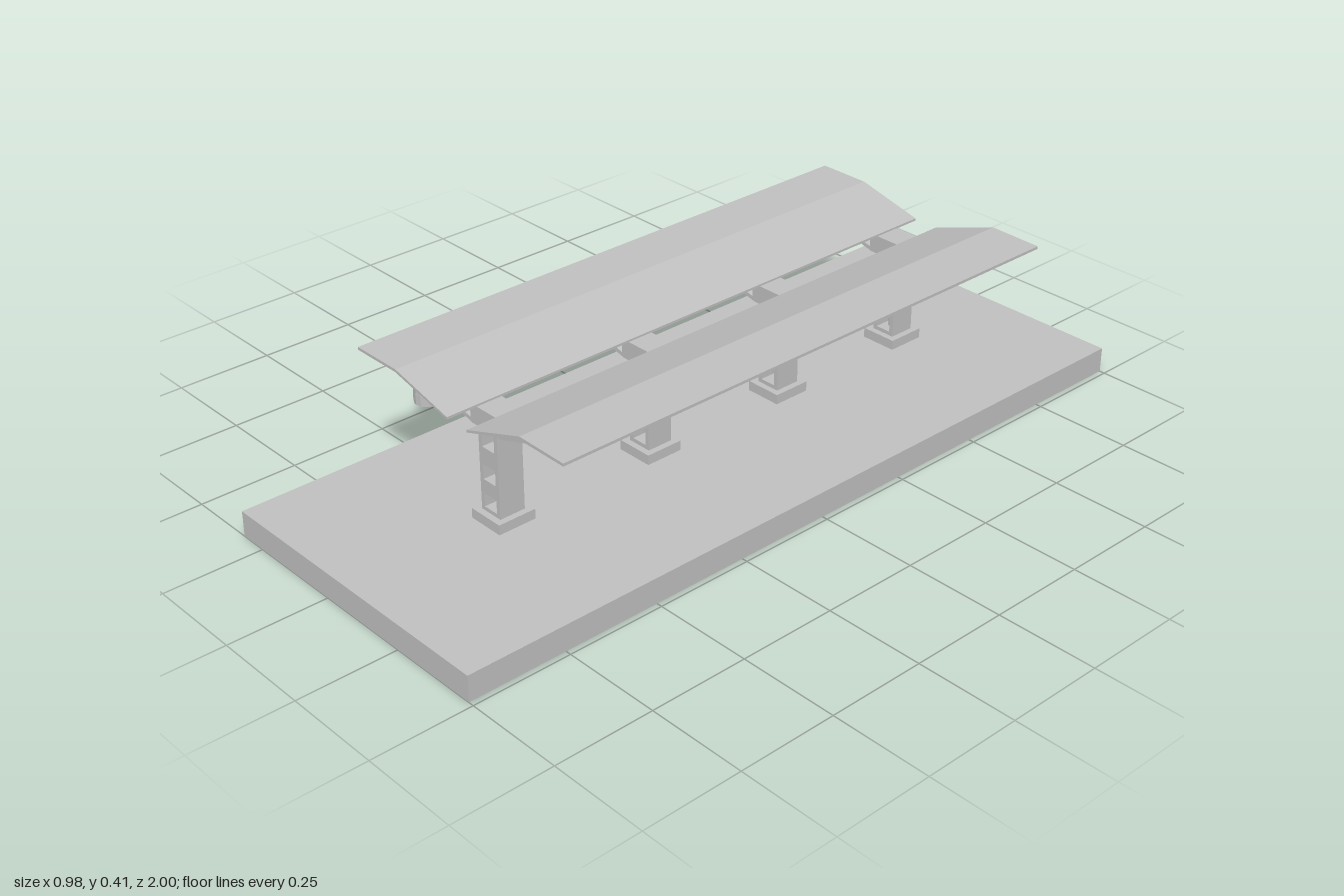
import * as THREE from 'three';

const grey = new THREE.MeshStandardMaterial({ color: 0xc0c0c0 });
grey.name = 'concrete grey';

function add(parent, name, geometry, x = 0, y = 0, z = 0) {
  const mesh = new THREE.Mesh(geometry, grey);
  mesh.name = name;
  mesh.position.set(x, y, z);
  parent.add(mesh);
  return mesh;
}

// Box given by its limits on each axis
function block(parent, name, x0, x1, y0, y1, z0, z1) {
  return add(parent, name, new THREE.BoxGeometry(x1 - x0, y1 - y0, z1 - z0),
    (x0 + x1) / 2, (y0 + y1) / 2, (z0 + z1) / 2);
}

const points = (list) => list.map(([x, y]) => new THREE.Vector2(x, y));

// Outline in x and y with holes, extruded from z0 to z1
function slab(parent, name, outline, holes, z0, z1) {
  const shape = new THREE.Shape(points(outline));
  for (const h of holes) shape.holes.push(new THREE.Path(points(h)));
  const geometry = new THREE.ExtrudeGeometry(shape, { depth: z1 - z0, bevelEnabled: false });
  return add(parent, name, geometry, 0, 0, z0);
}

const rect = (x0, x1, y0, y1) => [[x0, y0], [x1, y0], [x1, y1], [x0, y1]];

function createSupport(z) {
  const support = new THREE.Group();
  support.name = 'canopySupport';
  support.position.z = z;
  const d = 0.034;
  block(support, 'footing', 0.04, 0.136, 0.065, 0.09, -0.05, 0.05);
  // Column with three openings and a drain pipe inside
  slab(support, 'column', rect(0.056, 0.12, 0.09, 0.298), [
    rect(0.067, 0.109, 0.1, 0.134),
    rect(0.067, 0.109, 0.17, 0.208),
    rect(0.067, 0.109, 0.252, 0.296),
  ], -d, d);
  add(support, 'drainPipe', new THREE.CylinderGeometry(0.01, 0.01, 0.2, 12), 0.088, 0.195, 0);
  block(support, 'capital', 0.034, 0.14, 0.298, 0.345, -d, d);
  // Cantilever arms with slanted openings
  slab(support, 'leftArm',
    [[0.14, 0.299], [0.302, 0.354], [0.319, 0.354], [0.319, 0.404], [0.304, 0.404], [0.128, 0.344], [0.14, 0.344]],
    [
      [[0.146, 0.312], [0.203, 0.331], [0.194, 0.354], [0.146, 0.338]],
      [[0.243, 0.345], [0.302, 0.365], [0.302, 0.391], [0.236, 0.368]],
    ], -d, d);
  slab(support, 'rightArm',
    [[0.034, 0.299], [0.034, 0.349], [-0.125, 0.385], [-0.143, 0.385], [-0.143, 0.336], [-0.127, 0.336]],
    [
      [[0.031, 0.31], [0.031, 0.335], [-0.014, 0.345], [-0.021, 0.322]],
      [[-0.068, 0.332], [-0.06, 0.355], [-0.127, 0.374], [-0.127, 0.347]],
    ], -d, d);
  return support;
}

function createLocomotive() {
  const loco = new THREE.Group();
  loco.name = 'locomotive';
  loco.position.x = -0.449;

  // Rounded skirt in plan, extruded upwards
  const plan = new THREE.Shape();
  plan.moveTo(-0.036, -0.08);
  plan.lineTo(0.036, -0.08);
  plan.lineTo(0.04, -0.38);
  plan.bezierCurveTo(0.04, -0.45, -0.04, -0.45, -0.04, -0.38);
  plan.closePath();
  const deck = add(loco, 'deck',
    new THREE.ExtrudeGeometry(plan, { depth: 0.018, bevelEnabled: false, curveSegments: 8 }), 0, 0.072, 0);
  deck.rotation.x = -Math.PI / 2;
  deck.scale.y = 1;

  // Nose in front of the cab
  const nosePlan = new THREE.Shape();
  nosePlan.moveTo(-0.04, -0.37);
  nosePlan.lineTo(0.04, -0.37);
  nosePlan.bezierCurveTo(0.04, -0.453, -0.04, -0.453, -0.04, -0.37);
  const nose = add(loco, 'nose', new THREE.ExtrudeGeometry(nosePlan, {
    depth: 0.046, bevelEnabled: false, curveSegments: 8,
  }), 0, 0.061, 0);
  nose.rotation.x = -Math.PI / 2;

  // Arched body and cab
  const arch = (w, top) => [[-w, 0.088], [w, 0.088], [w, top - 0.018], [w * 0.75, top - 0.006],
    [w * 0.35, top], [-w * 0.35, top], [-w * 0.75, top - 0.006], [-w, top - 0.018]];
  slab(loco, 'engineBody', arch(0.029, 0.146), [], 0.085, 0.325);
  slab(loco, 'cab', arch(0.032, 0.152), [], 0.325, 0.392);
  slab(loco, 'cabVisor', arch(0.026, 0.118), [], 0.392, 0.41);
  block(loco, 'roofVent', -0.014, 0.014, 0.145, 0.157, 0.27, 0.345);
  block(loco, 'rearVent', -0.014, 0.014, 0.14, 0.15, 0.12, 0.2);
  for (const s of [-1, 1]) {
    for (const z of [0.12, 0.18, 0.24, 0.3]) {
      block(loco, 'sidePanel', s * 0.03 - 0.003, s * 0.03 + 0.003, 0.096, 0.124, z - 0.02, z + 0.02);
    }
    block(loco, 'rearPost', s * 0.034 - 0.002, s * 0.034 + 0.002, 0.088, 0.115, 0.078, 0.082);
  }

  // Underframe, bogies and wheels
  block(loco, 'fuelTank', -0.027, 0.027, 0.058, 0.074, 0.19, 0.28);
  for (const zc of [0.13, 0.345]) {
    for (const s of [-1, 1]) {
      block(loco, 'bogieFrame', s * 0.032 - 0.003, s * 0.032 + 0.003, 0.061, 0.073, zc - 0.045, zc + 0.045);
      for (const dz of [-0.03, 0, 0.03]) {
        const wheel = add(loco, 'wheel', new THREE.CylinderGeometry(0.01, 0.01, 0.006, 12), s * 0.028, 0.063, zc + dz);
        wheel.rotation.z = Math.PI / 2;
      }
    }
    for (const dz of [-0.03, 0, 0.03]) {
      block(loco, 'axle', -0.028, 0.028, 0.061, 0.065, zc + dz - 0.002, zc + dz + 0.002);
    }
  }
  block(loco, 'rearBeam', -0.034, 0.034, 0.065, 0.09, 0.07, 0.082);
  block(loco, 'rearCoupler', -0.006, 0.006, 0.078, 0.09, 0.054, 0.072);
  return loco;
}

export function createModel() {
  const model = new THREE.Group();
  model.name = 'stationPlatform';
  block(model, 'platform', -0.322, 0.486, 0, 0.065, -1, 1);
  for (const z of [-0.657, -0.251, 0.161, 0.592]) model.add(createSupport(z));

  // Folded canopy sheets, level outside and sloping towards the column line
  slab(model, 'rightCanopy',
    [[-0.262, 0.385], [-0.125, 0.385], [0.055, 0.344], [0.055, 0.35], [-0.124, 0.392], [-0.262, 0.392]],
    [], -0.762, 0.705);
  slab(model, 'leftCanopy',
    [[0.125, 0.344], [0.304, 0.404], [0.441, 0.403], [0.441, 0.41], [0.303, 0.412], [0.125, 0.35]],
    [], -0.76, 0.707);
  model.add(createLocomotive());
  return model;
}
